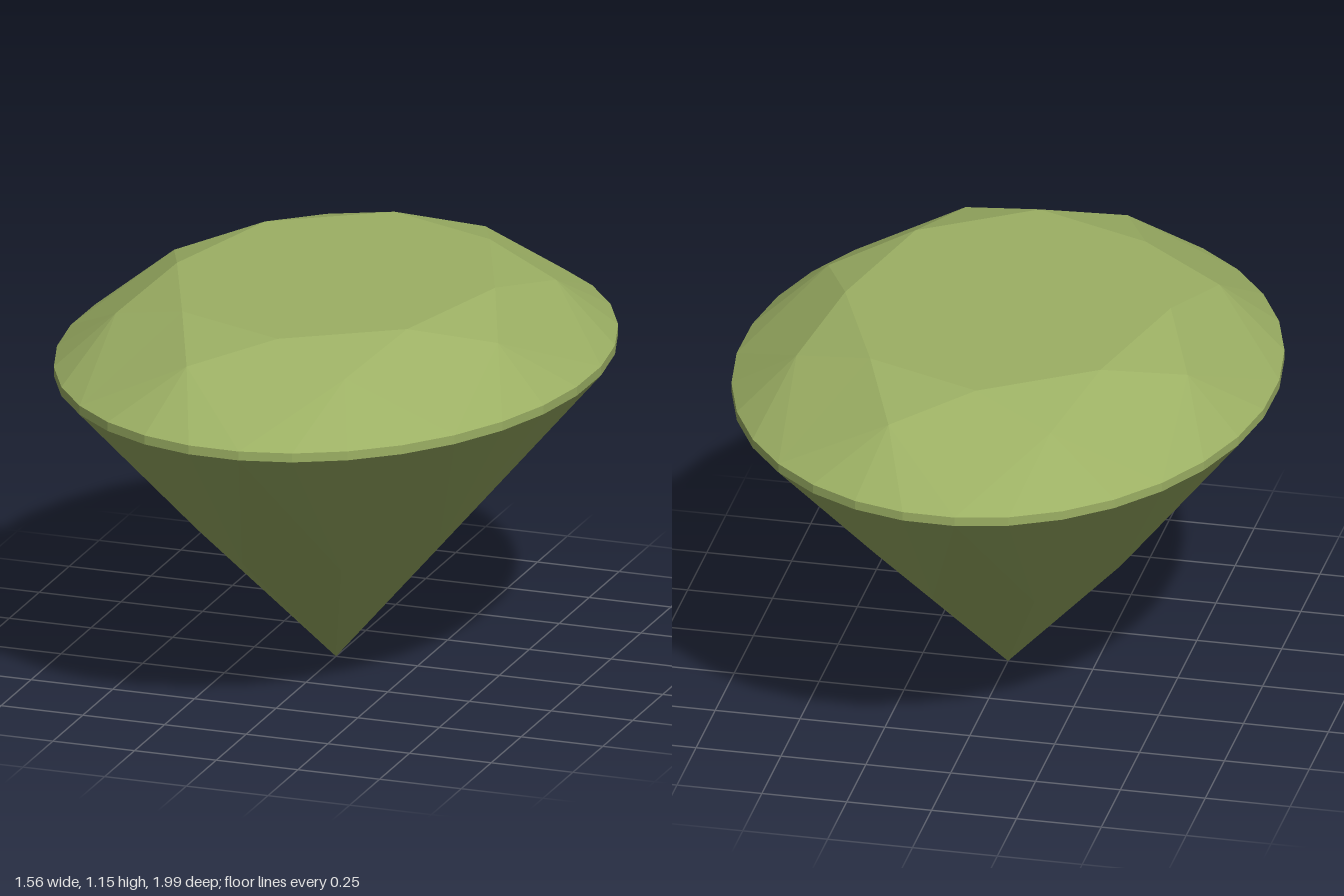
import * as THREE from 'three';

const SIDES = 32;          // girdle segments
const HALF_WIDTH = 0.783;  // x radius of the oval, z radius is 1
const TWIST = 4.9 * Math.PI / 180;

// Point on the oval at girdle step k, scaled by r, at height y
function ring(k, r, y) {
  const a = TWIST + (k / SIDES) * Math.PI * 2;
  return [Math.sin(a) * r * HALF_WIDTH, y, Math.cos(a) * r];
}

// Unshared corners keep every facet flat
function facets(name, triangles, material) {
  const geometry = new THREE.BufferGeometry();
  geometry.setAttribute('position', new THREE.Float32BufferAttribute(triangles.flat(2), 3));
  geometry.computeVertexNormals();
  const mesh = new THREE.Mesh(geometry, material);
  mesh.name = name;
  return mesh;
}

export function createModel() {
  const gemGreen = new THREE.MeshStandardMaterial({ color: 0x9cb064 });
  gemGreen.name = 'gemGreen';

  const tablePoint = k => ring(k, 0.6, 1.155);
  const starPoint = k => ring(k, 0.78, 1.091);
  const girdleTop = k => ring(k, 1, 0.942);
  const girdleBottom = k => ring(k, 1, 0.915);
  const pavilionPoint = k => ring(k, 0.49, 0.415);
  const culet = [0, 0, 0];

  const table = [], crown = [], girdle = [], pavilion = [];

  // Eight repeats, each four girdle steps wide
  for (let k = 0; k < SIDES; k += 4) {
    const mid = k + 2;
    // Flat table on top
    table.push([[0, 1.155, 0], tablePoint(k), tablePoint(k + 4)]);
    // Star facet, then the two halves of the kite facet
    crown.push([tablePoint(k), starPoint(mid), tablePoint(k + 4)]);
    crown.push([tablePoint(k), girdleTop(k), starPoint(mid)]);
    crown.push([tablePoint(k), starPoint(k - 2), girdleTop(k)]);
    // Lower kite facet in two halves
    pavilion.push([culet, girdleBottom(k), pavilionPoint(k - 2)]);
    pavilion.push([culet, pavilionPoint(mid), girdleBottom(k)]);
    // Fans down and up to the girdle, and the girdle band
    for (let j = k; j < k + 4; j++) {
      crown.push([starPoint(mid), girdleTop(j), girdleTop(j + 1)]);
      pavilion.push([pavilionPoint(mid), girdleBottom(j + 1), girdleBottom(j)]);
      girdle.push([girdleBottom(j), girdleBottom(j + 1), girdleTop(j + 1)]);
      girdle.push([girdleBottom(j), girdleTop(j + 1), girdleTop(j)]);
    }
  }

  const gem = new THREE.Group();
  gem.name = 'ovalGem';
  gem.add(
    facets('table', table, gemGreen),
    facets('crown', crown, gemGreen),
    facets('girdle', girdle, gemGreen),
    facets('pavilion', pavilion, gemGreen)
  );
  return gem;
}
